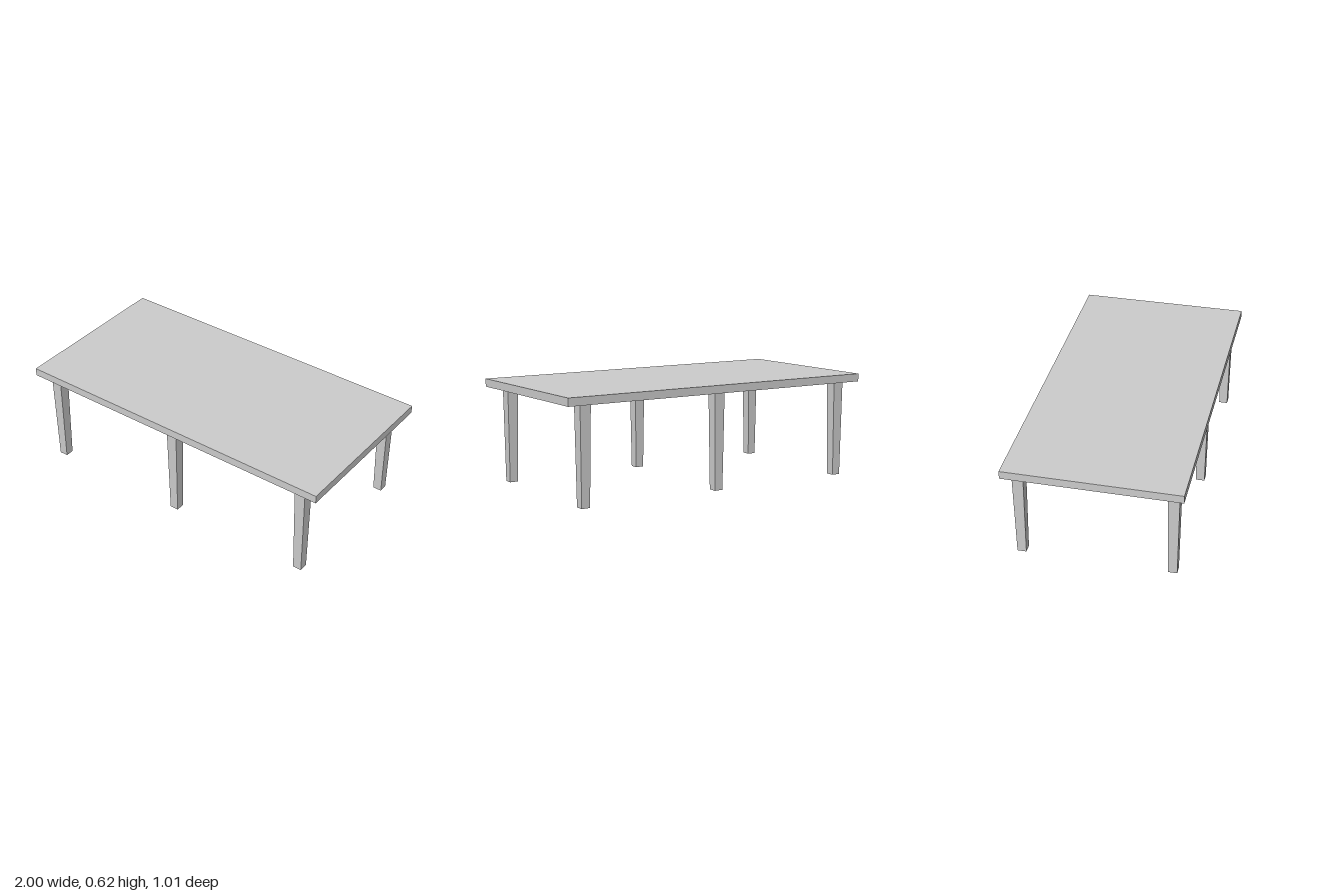
import * as THREE from 'three';

const TOP = 0.616, UNDERSIDE = 0.569;

// Square leg, narrowing toward the floor
function taperedLeg(topWidth, footWidth, height) {
  const geometry = new THREE.BoxGeometry(topWidth, height, topWidth);
  geometry.translate(0, height / 2, 0);
  const pos = geometry.attributes.position;
  for (let i = 0; i < pos.count; i++) {
    const s = THREE.MathUtils.lerp(footWidth / topWidth, 1, pos.getY(i) / height);
    pos.setX(i, pos.getX(i) * s);
    pos.setZ(i, pos.getZ(i) * s);
  }
  geometry.computeVertexNormals();
  return geometry;
}

export function createModel() {
  const group = new THREE.Group();
  group.name = 'table';
  const material = new THREE.MeshStandardMaterial({ color: 0xcccccc, flatShading: true });

  // Tabletop slab
  const thickness = TOP - UNDERSIDE;
  const top = new THREE.Mesh(new THREE.BoxGeometry(2, thickness, 1.008), material);
  top.name = 'tabletop';
  top.position.y = UNDERSIDE + thickness / 2;
  group.add(top);

  // Three legs along each long side
  const legGeometry = taperedLeg(0.066, 0.052, UNDERSIDE);
  for (const [zName, z] of [['front', 0.433], ['back', -0.433]]) {
    for (const [xName, x] of [['Right', -0.875], ['Middle', 0], ['Left', 0.875]]) {
      const leg = new THREE.Mesh(legGeometry, material);
      leg.name = `${zName}${xName}Leg`;
      leg.position.set(x, 0, z);
      group.add(leg);
    }
  }
  return group;
}
